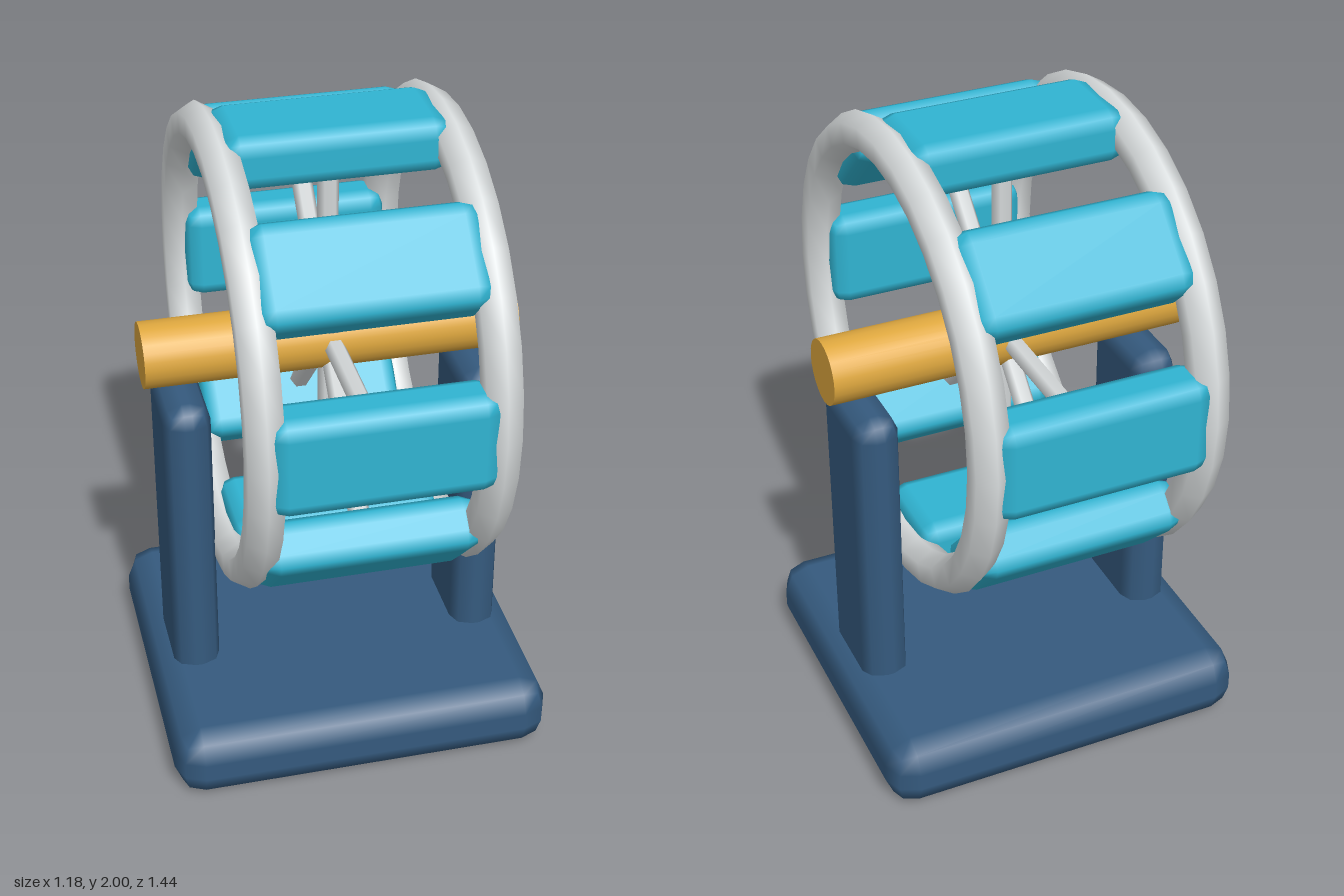
import * as THREE from 'three';
import { RoundedBoxGeometry } from 'three/addons/geometries/RoundedBoxGeometry.js';

const HUB_Y = 1.28;
const PADDLES = 8;

function paint(name, color) {
  const m = new THREE.MeshStandardMaterial({ color });
  m.name = name;
  return m;
}

function part(parent, name, geometry, material, x = 0, y = 0, z = 0) {
  const mesh = new THREE.Mesh(geometry, material);
  mesh.name = name;
  mesh.position.set(x, y, z);
  parent.add(mesh);
  return mesh;
}

export function createModel() {
  const navy = paint('navy', 0x355a7e);
  const cyan = paint('cyan', 0x30b4d2);
  const gold = paint('gold', 0xdfa83f);
  const silver = paint('silver', 0xd8dcdd);

  const model = new THREE.Group();
  model.name = 'paddleWheel';

  // Stand: bevelled base slab and two uprights
  part(model, 'base', new RoundedBoxGeometry(1.18, 0.225, 1.08, 1, 0.085), navy, 0, 0.1125, 0);
  for (const side of [-1, 1]) {
    const upright = new RoundedBoxGeometry(0.145, 1.06, 0.33, 1, 0.06);
    part(model, side > 0 ? 'leftUpright' : 'rightUpright', upright, navy, side * 0.453, 0.63, 0);
  }

  // Wheel, turning about the x axis
  const wheel = new THREE.Group();
  wheel.name = 'wheel';
  wheel.position.y = HUB_Y;
  model.add(wheel);

  const axle = new THREE.CylinderGeometry(0.1, 0.1, 1.13, 24).rotateZ(Math.PI / 2);
  part(wheel, 'axle', axle, gold);

  // Rims
  for (const side of [-1, 1]) {
    const rim = new THREE.TorusGeometry(0.66, 0.06, 6, 32).rotateY(Math.PI / 2);
    part(wheel, side > 0 ? 'leftRim' : 'rightRim', rim, silver, side * 0.331, 0, 0);
  }

  // Spokes with a bevelled paddle at each end
  const spoke = new THREE.CylinderGeometry(0.032, 0.032, 0.6, 6).rotateY(Math.PI / 2);
  const paddle = new RoundedBoxGeometry(0.65, 0.16, 0.305, 1, 0.05);
  for (let i = 0; i < PADDLES; i++) {
    const arm = new THREE.Group();
    arm.name = 'arm' + (i + 1);
    arm.rotation.x = (i / PADDLES) * Math.PI * 2;
    part(arm, 'spoke', spoke, silver, 0, 0.3, 0);
    part(arm, 'paddle', paddle, cyan, 0, 0.635, 0);
    wheel.add(arm);
  }
  return model;
}
